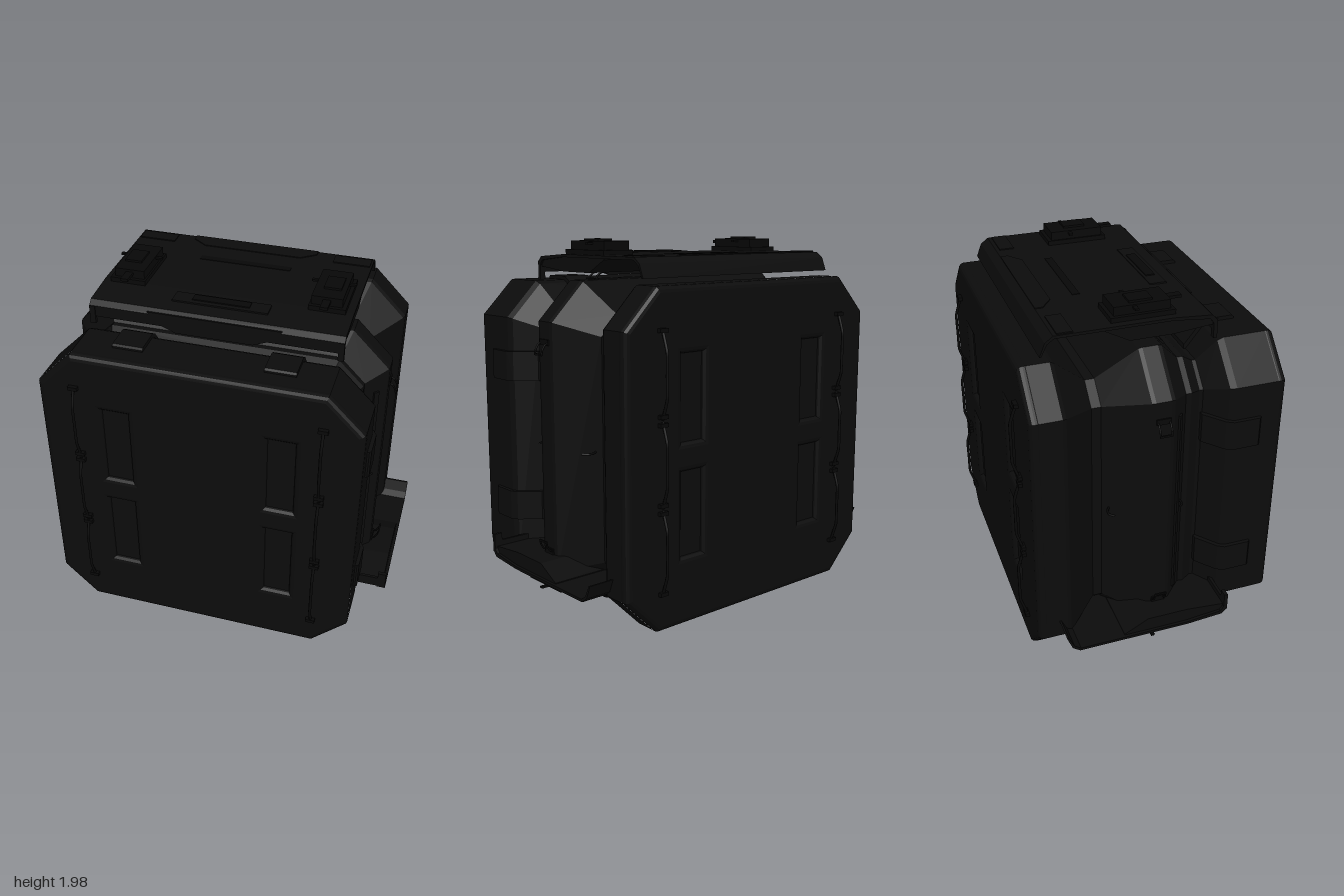
import * as THREE from 'three';

const shell = new THREE.MeshStandardMaterial({ color: 0x0c0c0c });
shell.name = 'blackShell';
const hardware = new THREE.MeshStandardMaterial({ color: 0x080808 });
hardware.name = 'darkHardware';

const CY = 0.91; // height of the case centre

function add(parent, name, geo, mat = shell, pos = [0, 0, 0]) {
  const m = new THREE.Mesh(geo, mat);
  m.name = name;
  m.position.set(...pos);
  parent.add(m);
  return m;
}

const box = (parent, name, size, pos, mat = shell) =>
  add(parent, name, new THREE.BoxGeometry(...size), mat, pos);

const shapeOf = (pts) => new THREE.Shape(pts.map(([x, y]) => new THREE.Vector2(x, y)));

// Octagon corners, inset evenly by d
function octagon(d) {
  const a = 0.86 - d, b = 0.66 - 0.414 * d;
  return [[a, -b], [a, b], [b, a], [-b, a], [-a, b], [-a, -b], [-b, -a], [b, -a]];
}

// Extrude a (z, y) outline across x
function extrudeAcross(pts, width) {
  const g = new THREE.ExtrudeGeometry(shapeOf(pts), { depth: width, bevelEnabled: false });
  return g.translate(0, 0, -width / 2).rotateY(-Math.PI / 2);
}

// Extrude an (x, z) outline upward as a thin plate
function flatPlate(pts, thick) {
  const g = new THREE.ExtrudeGeometry(shapeOf(pts.map(([x, z]) => [x, -z])), { depth: thick, bevelEnabled: false });
  return g.rotateX(-Math.PI / 2);
}

function tube(pts, radius) {
  const curve = new THREE.CatmullRomCurve3(pts.map((p) => new THREE.Vector3(...p)), false, 'catmullrom', 0.2);
  return new THREE.TubeGeometry(curve, pts.length * 4, radius, 6);
}

// Ridged wall of the case: (z, inset) stations around the octagon
function wallGeometry() {
  const stations = [
    [0.615, 0.02], [0.39, 0.02], [0.36, 0.035], [0.27, 0.15], [0.25, 0.15], [0.19, 0.11], [0.16, 0.11],
    [0.06, 0.005], [0.04, 0], [-0.04, 0], [-0.06, 0.005], [-0.26, 0.165], [-0.31, 0.165],
    [-0.48, 0.01], [-0.5, 0], [-0.615, 0],
  ];
  const pos = [], idx = [];
  for (const [z, d] of stations) for (const [x, y] of octagon(d)) pos.push(x, y, z);
  for (let i = 0; i < stations.length - 1; i++) {
    for (let j = 0; j < 8; j++) {
      const a = i * 8 + j, d = i * 8 + (j + 1) % 8;
      idx.push(a, a + 8, d + 8, a, d + 8, d);
    }
  }
  const g = new THREE.BufferGeometry();
  g.setAttribute('position', new THREE.Float32BufferAttribute(pos, 3));
  g.setIndex(idx);
  const flat = g.toNonIndexed();
  flat.computeVertexNormals();
  return flat;
}

// Bevelled end plate with four recessed panels
function endPlateGeometry(inset) {
  const s = shapeOf(octagon(inset + 0.03));
  for (const x of [-0.435, 0.435]) for (const y of [-0.28, 0.31]) {
    const w = 0.1, h = 0.25;
    s.holes.push(new THREE.Path([[-w, -h], [-w, h], [w, h], [w, -h]]
      .map(([u, v]) => new THREE.Vector2(x + u, y + v))));
  }
  return new THREE.ExtrudeGeometry(s, { depth: 0.01, bevelSize: 0.03, bevelThickness: 0.03, bevelSegments: 3 });
}

// End plate plus the two segmented grab rails; built facing +z
function endFace(inset) {
  const g = new THREE.Group();
  g.name = 'endFace';
  add(g, 'endPlate', endPlateGeometry(inset), shell, [0, 0, 0.62]);
  for (const x of [-0.64, 0.64]) {
    for (let k = -1; k <= 1; k++) {
      const y = k * 0.44;
      add(g, 'grabRail', tube([
        [x, y - 0.215, 0.668], [x, y - 0.2, 0.672], [x, y - 0.11, 0.7], [x, y, 0.7],
        [x, y + 0.11, 0.7], [x, y + 0.2, 0.672], [x, y + 0.215, 0.668],
      ], 0.008), hardware);
    }
    for (const y of [-0.655, -0.24, -0.2, 0.2, 0.24, 0.655]) {
      box(g, 'railClip', [0.05, 0.02, 0.03], [x, y, 0.667], hardware);
    }
  }
  return g;
}

// Fittings repeated on each of the four walls; local +y points outward
function wallFittings() {
  const g = new THREE.Group();
  g.name = 'wallFittings';
  const pad = [[0.53, 0.8], [0.53, 0.85], [0.52, 0.86], [0.38, 0.86], [0.345, 0.84], [0.26, 0.735], [0.26, 0.68]];
  for (const x of [-0.39, 0.39]) add(g, 'latchPad', extrudeAcross(pad, 0.16), shell, [x, 0, 0]);
  // Long strip on the front slope of the middle ridge
  const strip = box(g, 'ridgeStrip', [1.08, 0.012, 0.03], [0, 0.809, 0.11]);
  strip.rotation.x = 0.81;
  // Tie loops on the ridge
  for (const s of [-1, 1]) {
    const out = [[0.555, 0.855], [0.545, 0.88], [0.52, 0.896], [0.495, 0.902]];
    for (const z of [-0.03, 0.03]) {
      add(g, 'tieLoop', tube(out.map(([x, y]) => [s * x, y, z]), 0.005), hardware);
    }
    box(g, 'tieLoopBar', [0.01, 0.008, 0.065], [s * 0.495, 0.902, 0], hardware);
    box(g, 'tieLoopBase', [0.03, 0.012, 0.075], [s * 0.555, 0.862, 0], hardware);
  }
  // Curved hooks on the two slopes
  for (const [z, y, s] of [[0.14, 0.76, 1], [-0.245, 0.725, -1]]) {
    add(g, 'slopeHook', tube([
      [0, y - 0.01, z - s * 0.02], [0, y + 0.02, z], [0, y + 0.05, z], [0, y + 0.075, z - s * 0.025],
    ], 0.006), hardware);
  }
  return g;
}

// Carrier plate with skirt, lips and buckle boxes; width 1.32
function carrier() {
  const g = new THREE.Group();
  g.name = 'carrier';
  add(g, 'carrierSkin', extrudeAcross([
    [0.345, 1.8], [0.345, 1.86], [0.32, 1.885], [0.12, 1.9], [-0.48, 1.9], [-0.52, 1.87], [-0.548, 1.8],
    [-0.538, 1.8], [-0.51, 1.86], [-0.475, 1.885], [0.12, 1.885], [0.31, 1.865], [0.33, 1.84], [0.33, 1.8],
  ], 1.32));
  add(g, 'carrierBody', extrudeAcross([
    [0.33, 1.83], [0.12, 1.81], [-0.1, 1.81], [-0.23, 1.88], [-0.23, 1.9], [0.12, 1.9], [0.32, 1.88],
  ], 1.3));
  // Centre skirt and end tabs
  const skirt = shapeOf([[-0.35, 1.87], [-0.3, 1.81], [-0.2, 1.77], [0.2, 1.77], [0.3, 1.81], [0.35, 1.87]]);
  add(g, 'centreSkirt', new THREE.ExtrudeGeometry(skirt, { depth: 0.02, bevelEnabled: false }), shell, [0, 0, 0.325]);
  for (const s of [-1, 1]) {
    box(g, 'endTab', [0.03, 0.1, 0.02], [s * 0.645, 1.81, 0.34]);
    box(g, 'ribPlate', [0.2, 0.008, 0.08], [s * 0.55, 1.902, -0.42]);
    // Buckle box
    box(g, 'buckleBase', [0.19, 0.025, 0.33], [s * 0.525, 1.912, -0.02], hardware);
    box(g, 'buckleBody', [0.16, 0.05, 0.29], [s * 0.52, 1.945, -0.02], hardware);
    box(g, 'buckleCap', [0.09, 0.012, 0.12], [s * 0.53, 1.975, -0.02], hardware);
    box(g, 'bucklePin', [0.23, 0.01, 0.02], [s * 0.52, 1.958, -0.06], hardware);
    box(g, 'buckleTongue', [0.04, 0.015, 0.1], [s * 0.52, 1.95, 0.155], hardware);
  }
  // Raised trims on top
  add(g, 'rearTrim', flatPlate([[-0.35, -0.48], [0.35, -0.48], [0.35, -0.44], [0.27, -0.38], [-0.27, -0.38], [-0.35, -0.44]], 0.006),
    shell, [0, 1.899, 0]);
  box(g, 'frontTrim', [0.5, 0.008, 0.09], [0, 1.898, 0.2]);
  box(g, 'trimGrip', [0.3, 0.008, 0.05], [0, 1.904, 0.195], hardware);
  box(g, 'centreSlot', [0.5, 0.006, 0.04], [0, 1.9, -0.24], hardware);
  return g;
}

export function createModel() {
  const model = new THREE.Group();
  model.name = 'hardCase';

  const body = new THREE.Group();
  body.name = 'caseBody';
  body.position.y = CY;
  model.add(body);
  add(body, 'ridgedWall', wallGeometry());
  box(body, 'innerCore', [1.2, 1.26, 1.27], [0, 0, 0]);

  const front = endFace(0.02);
  const back = endFace(0);
  back.rotation.y = Math.PI;
  body.add(front, back);

  for (let k = 0; k < 4; k++) {
    const side = wallFittings();
    side.rotation.z = k * Math.PI / 2;
    body.add(side);
  }

  // Upper carrier, and a wider one turned upside down through the base
  const upper = carrier();
  upper.name = 'upperCarrier';
  const lower = carrier();
  lower.name = 'lowerCarrier';
  lower.rotation.z = Math.PI;
  lower.position.y = 2.15;
  lower.scale.x = 1.515;
  model.add(upper, lower);

  return model;
}
